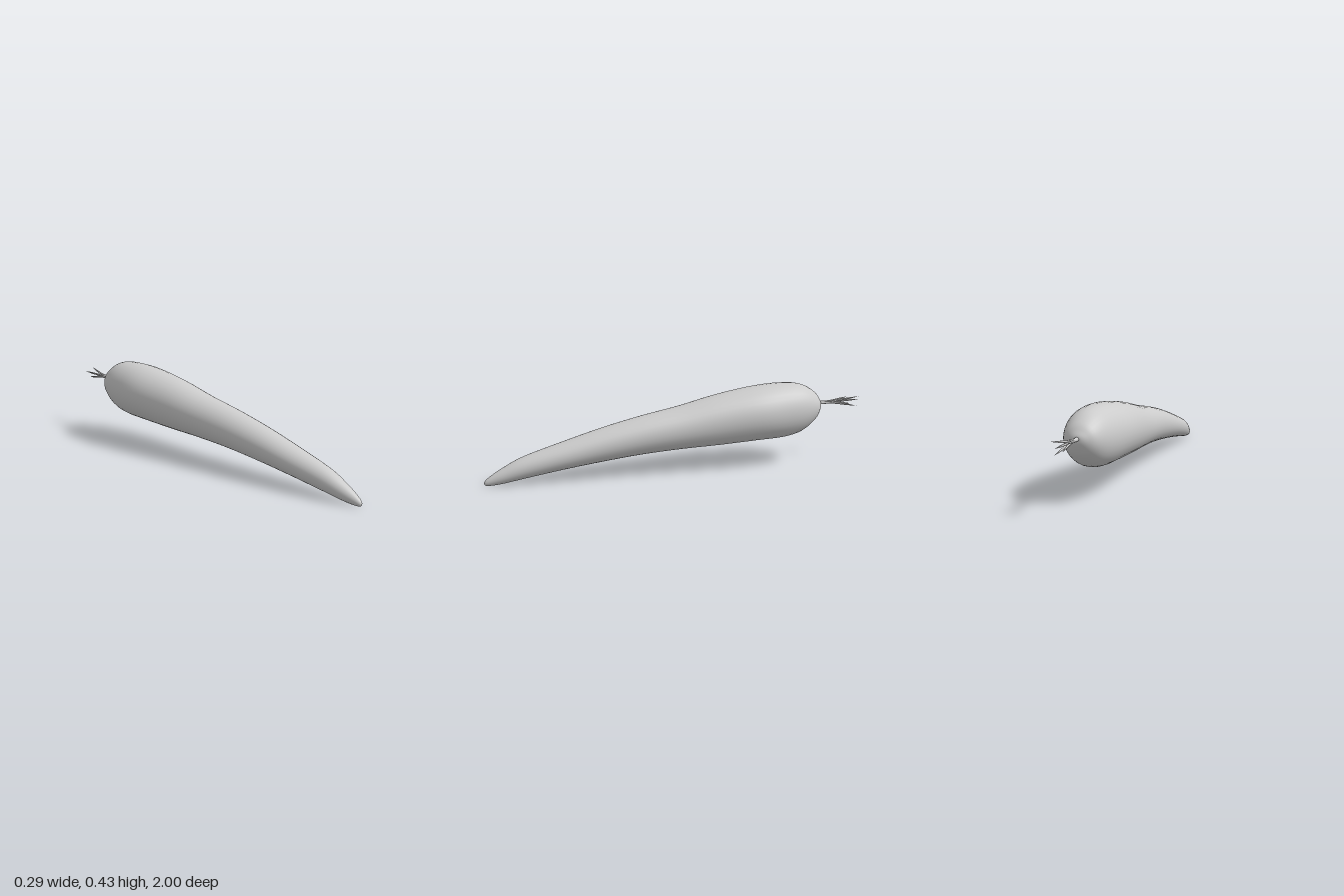
import * as THREE from 'three';

const material = new THREE.MeshStandardMaterial({ color: 0xcccccc });

// Smooth loft through elliptical sections [x, y, z, halfWidth, halfHeight], running towards -z
function loft(name, sections, sides, steps) {
  const centres = new THREE.CatmullRomCurve3(sections.map(s => new THREE.Vector3(s[0], s[1], s[2])), false, 'catmullrom');
  const radii = new THREE.CatmullRomCurve3(sections.map(s => new THREE.Vector3(s[3], s[4], 0)), false, 'catmullrom');
  const rows = (sections.length - 1) * steps;
  const positions = [], index = [];
  for (let i = 0; i <= rows; i++) {
    const c = centres.getPoint(i / rows), r = radii.getPoint(i / rows);
    for (let j = 0; j < sides; j++) {
      const a = j / sides * Math.PI * 2;
      positions.push(c.x + Math.cos(a) * r.x, c.y + Math.sin(a) * r.y, c.z);
      if (i < rows) {
        const p = i * sides + j, q = i * sides + (j + 1) % sides;
        index.push(p, p + sides, q, q, p + sides, q + sides);
      }
    }
  }
  const geometry = new THREE.BufferGeometry();
  geometry.setAttribute('position', new THREE.Float32BufferAttribute(positions, 3));
  geometry.setIndex(index);
  geometry.computeVertexNormals();
  const mesh = new THREE.Mesh(geometry, material);
  mesh.name = name;
  return mesh;
}

export function createModel() {
  const group = new THREE.Group();
  group.name = 'carrot';

  // Root: [z, top y, bottom y, half width] from the tip to the crown
  const profile = [
    [1, 0.015, 0.015, 0], [0.99, 0.031, 0.003, 0.012], [0.96, 0.054, 0.002, 0.023],
    [0.9, 0.09, 0.009, 0.038], [0.8, 0.138, 0.027, 0.055], [0.6, 0.2, 0.06, 0.075],
    [0.4, 0.258, 0.087, 0.088], [0.2, 0.306, 0.109, 0.1], [0, 0.346, 0.122, 0.113],
    [-0.2, 0.394, 0.129, 0.129], [-0.4, 0.427, 0.14, 0.143], [-0.55, 0.436, 0.147, 0.13],
    [-0.65, 0.424, 0.172, 0.11], [-0.72, 0.385, 0.224, 0.08], [-0.75, 0.349, 0.268, 0.046],
    [-0.762, 0.327, 0.299, 0.016], [-0.757, 0.315, 0.315, 0],
  ];
  group.add(loft('root', profile.map(([z, top, bottom, w]) =>
    [0, (top + bottom) / 2, z, w, (top - bottom) / 2]), 32, 4));

  // Short stalk at the crown
  group.add(loft('stalk', [
    [0, 0.316, -0.745, 0.011, 0.011], [0, 0.316, -0.78, 0.009, 0.009],
    [0, 0.317, -0.83, 0.008, 0.008], [0, 0.317, -0.87, 0, 0],
  ], 10, 3));

  // Thin pointed leaf stems fanning out from the stalk
  const tips = [
    [-0.03, 0.332, -0.93], [0, 0.322, -0.995], [0.03, 0.345, -0.972],
    [0.012, 0.288, -0.972], [-0.012, 0.298, -0.945],
  ];
  for (const [x, y, z] of tips) {
    const at = (f, spread, r) => [x * spread, 0.317 + (y - 0.317) * spread, -0.78 + (z + 0.78) * f, r, r];
    group.add(loft('leafStem', [
      at(0, 0.1, 0.004), at(0.35, 0.25, 0.005), at(0.7, 0.62, 0.0045), at(1, 1, 0),
    ], 6, 3));
  }
  return group;
}
